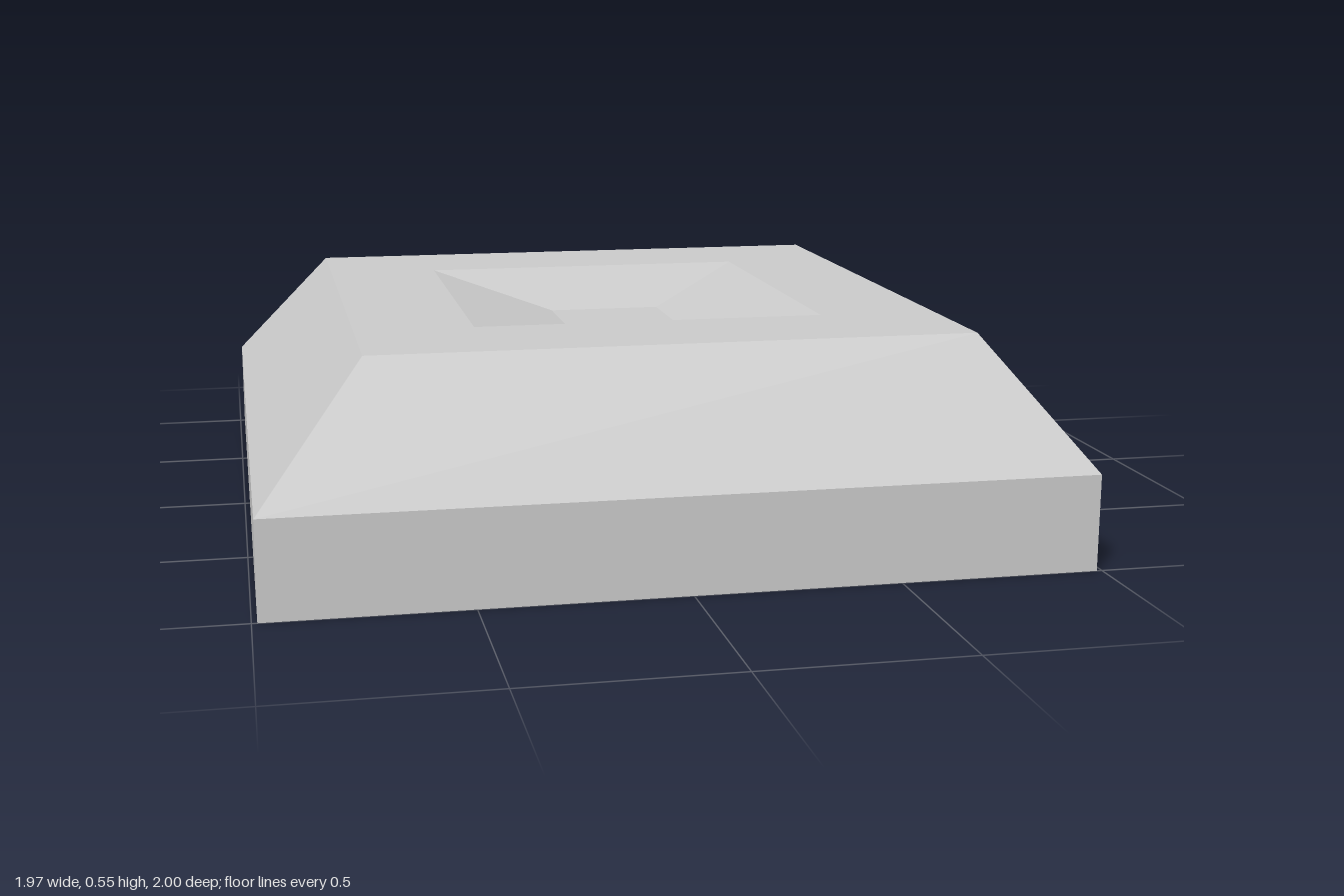
import * as THREE from 'three';

// Rectangular cross-sections, each given as left, right, half depth and height.
const foot = { x0: -0.987, x1: 0.987, z: 1, y: 0 };
const shoulder = { x0: -0.987, x1: 0.987, z: 1, y: 0.237 };
const topEdge = { x0: -0.727, x1: 0.752, z: 0.774, y: 0.545 };
const dishRim = { x0: -0.432, x1: 0.453, z: 0.464, y: 0.545 };
const dishFloor = { x0: -0.136, x1: 0.162, z: 0.155, y: 0.47 };

// Corners run anticlockwise seen from above.
const corners = ({ x0, x1, z, y }) => [[x0, y, z], [x1, y, z], [x1, y, -z], [x0, y, -z]];

// Joins successive sections with flat quads and optionally caps either end.
function loft(name, sections, { capStart = false, capEnd = false } = {}) {
  const positions = [];
  const quad = (a, b, c, d) => positions.push(...a, ...b, ...c, ...a, ...c, ...d);
  const rings = sections.map(corners);
  for (let i = 0; i < rings.length - 1; i++) {
    for (let j = 0; j < 4; j++) {
      const k = (j + 1) % 4;
      quad(rings[i][j], rings[i][k], rings[i + 1][k], rings[i + 1][j]);
    }
  }
  if (capStart) quad(...rings[0].slice().reverse());
  if (capEnd) quad(...rings[rings.length - 1]);

  const geometry = new THREE.BufferGeometry();
  geometry.setAttribute('position', new THREE.Float32BufferAttribute(positions, 3));
  geometry.computeVertexNormals();
  const material = new THREE.MeshStandardMaterial({ color: 0xcccccc, flatShading: true });
  const mesh = new THREE.Mesh(geometry, material);
  mesh.name = name;
  return mesh;
}

export function createModel() {
  const group = new THREE.Group();
  group.name = 'plinthBlock';
  group.add(
    // Upright base with its underside
    loft('base', [foot, shoulder], { capStart: true }),
    // Sloping sides
    loft('bevel', [shoulder, topEdge]),
    // Flat border around the hollow
    loft('topBorder', [topEdge, dishRim]),
    // Shallow hollow with a small flat floor
    loft('dish', [dishRim, dishFloor], { capEnd: true }),
  );
  return group;
}
